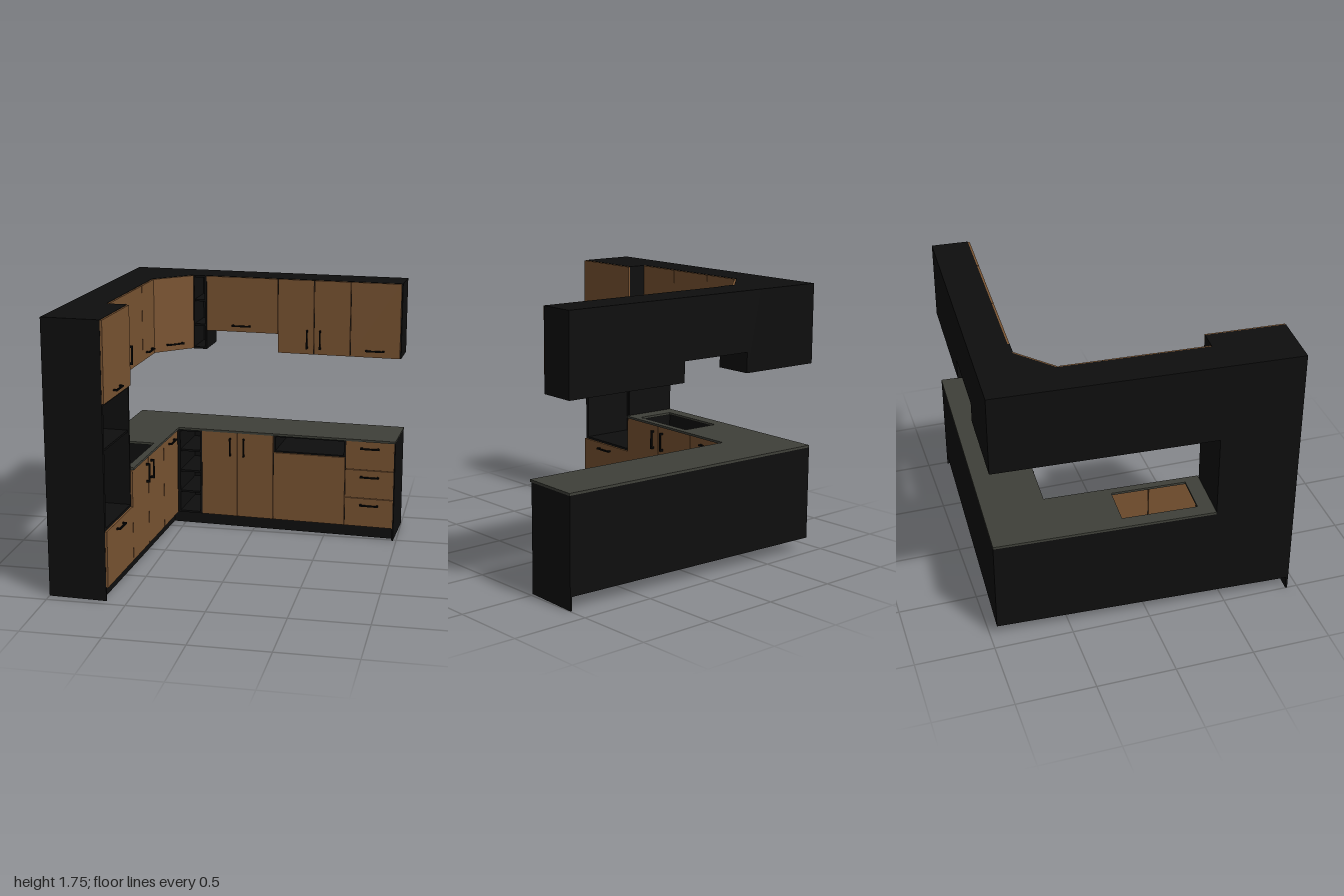
import * as THREE from 'three';

const mat = (name, color) => Object.assign(new THREE.MeshStandardMaterial({ color }), { name });

export function createModel() {
  const black = mat('black carcass', 0x0e0e0e);
  const wood = mat('brown wood', 0x7a5432);
  const stone = mat('grey worktop', 0x3f4039);
  const metal = mat('black handle', 0x040404);

  const root = new THREE.Group();
  root.name = 'cornerKitchen';
  // Inner frame: origin at the back corner, one run along x, the other along z
  const kitchen = new THREE.Group();
  kitchen.name = 'kitchen';
  kitchen.position.set(-0.905, 0, -0.96);
  kitchen.rotation.y = -0.05;
  root.add(kitchen);

  const T = 0.013;            // board thickness
  const BASE = 0.085, BASE_TOP = 0.69, WALL = 1.24, TOP = 1.75;
  const DEEP = 0.37, SHALLOW = 0.237;

  // Box given by its span along the run (a), height (y) and depth (d)
  function box(run, name, a0, a1, y0, y1, d0, d1, material, parent = kitchen) {
    const [w, d] = run === 'back' ? [a1 - a0, d1 - d0] : [d1 - d0, a1 - a0];
    const mesh = new THREE.Mesh(new THREE.BoxGeometry(w, y1 - y0, d), material);
    const a = (a0 + a1) / 2, dd = (d0 + d1) / 2;
    mesh.position.set(run === 'back' ? a : dd, (y0 + y1) / 2, run === 'back' ? dd : a);
    mesh.name = name;
    parent.add(mesh);
    return mesh;
  }

  // Bar handle on two posts
  function handle(run, a, y, d, upright, parent = kitchen) {
    const g = new THREE.Group();
    g.name = 'handle';
    const h = 0.064, t = 0.005;
    const part = (s0, s1, t0, d0, d1) => upright
      ? box(run, 'handlePart', a - t0, a + t0, y + s0, y + s1, d0, d1, metal, g)
      : box(run, 'handlePart', a + s0, a + s1, y - t0, y + t0, d0, d1, metal, g);
    part(-h, h, t, d + 0.016, d + 0.026);
    part(-h, -h + 0.014, t, d, d + 0.02);
    part(h - 0.014, h, t, d, d + 0.02);
    parent.add(g);
  }

  // Door or drawer front with a narrow gap around it
  function front(run, name, a0, a1, y0, y1, d, grip) {
    const e = 0.002;
    box(run, name, a0 + e, a1 - e, y0 + e, y1 - e, d, d + T, wood);
    if (grip) handle(run, grip[0], grip[1], d + T, grip[2] === 'upright');
  }

  // Cabinet open at the front, with shelves and an optional top
  function openCabinet(run, name, a0, a1, y0, y1, depth, shelves = [], lid = true) {
    const g = new THREE.Group();
    g.name = name;
    box(run, 'backPanel', a0, a1, y0, y1, 0, T, black, g);
    box(run, 'sidePanel', a0, a0 + T, y0, y1, T, depth, black, g);
    box(run, 'sidePanel', a1 - T, a1, y0, y1, T, depth, black, g);
    box(run, 'floorPanel', a0 + T, a1 - T, y0, y0 + T, T, depth, black, g);
    if (lid) box(run, 'lidPanel', a0 + T, a1 - T, y1 - T, y1, T, depth, black, g);
    for (const y of shelves) box(run, 'shelf', a0 + T, a1 - T, y, y + T, T, depth - 0.01, black, g);
    kitchen.add(g);
  }

  // Flat outline in plan, hung down from the given top height
  function slab(name, points, top, height, material, hole) {
    const shape = new THREE.Shape(points.map(p => new THREE.Vector2(...p)));
    if (hole) shape.holes.push(new THREE.Path(hole.map(p => new THREE.Vector2(...p))));
    const geo = new THREE.ExtrudeGeometry(shape, { depth: height, bevelEnabled: false });
    geo.rotateX(Math.PI / 2);
    const mesh = new THREE.Mesh(geo, material);
    mesh.position.y = top;
    mesh.name = name;
    kitchen.add(mesh);
  }

  // Worktop with sink cutout
  slab('worktop', [[0, 0], [1.907, 0], [1.907, 0.393], [0.393, 0.393], [0.393, 1.39], [0, 1.39]],
    0.705, 0.015, stone, [[0.085, 0.814], [0.345, 0.814], [0.345, 1.294], [0.085, 1.294]]);

  // Plinths and floor-standing end panels
  box('back', 'plinth', 0.34, 1.89, 0, BASE, 0.327, 0.34, black);
  box('side', 'plinth', 0.327, 1.884, 0, BASE, 0.327, 0.34, black);
  box('back', 'endPanel', 1.892, 1.905, 0, BASE_TOP, 0, 0.38, black);
  box('side', 'tallEndPanel', 1.884, 1.897, 0, TOP, 0, DEEP, black);

  // Base cabinets, back run
  box('back', 'cornerBase', 0, 0.385, BASE, BASE_TOP, 0, DEEP, black);
  openCabinet('back', 'openBaseShelves', 0.385, 0.555, BASE, BASE_TOP, 0.38, [0.23, 0.38, 0.53]);
  box('back', 'doubleBase', 0.555, 1.063, BASE, BASE_TOP, 0, DEEP, black);
  front('back', 'baseDoor', 0.555, 0.809, BASE, BASE_TOP, DEEP, [0.76, 0.588, 'upright']);
  front('back', 'baseDoor', 0.809, 1.063, BASE, BASE_TOP, DEEP, [0.856, 0.588, 'upright']);
  box('back', 'applianceBase', 1.063, 1.565, BASE, 0.565, 0, DEEP, black);
  openCabinet('back', 'applianceRecess', 1.063, 1.565, 0.565, BASE_TOP, DEEP);
  front('back', 'applianceDoor', 1.063, 1.565, BASE, 0.57, DEEP);
  box('back', 'drawerBase', 1.565, 1.892, BASE, BASE_TOP, 0, DEEP, black);
  [[BASE, 0.288], [0.288, 0.489], [0.489, BASE_TOP]].forEach(([y0, y1]) =>
    front('back', 'drawerFront', 1.565, 1.9, y0, y1, DEEP, [1.735, y1 - 0.047, 'flat']));

  // Base cabinets, side run
  box('side', 'blindBase', 0.37, 0.722, BASE, BASE_TOP, 0, DEEP, black);
  front('side', 'baseDoor', 0.39, 0.722, BASE, BASE_TOP, DEEP, [0.55, 0.645, 'flat']);
  openCabinet('side', 'sinkBase', 0.722, 1.39, BASE, BASE_TOP, DEEP, [], false);
  front('side', 'baseDoor', 0.722, 1.062, BASE, BASE_TOP, DEEP, [1.012, 0.588, 'upright']);
  front('side', 'baseDoor', 1.062, 1.396, BASE, BASE_TOP, DEEP, [1.107, 0.588, 'upright']);

  // Tall cabinet with appliance niche
  box('side', 'tallBase', 1.39, 1.884, BASE, 0.45, 0, DEEP, black);
  openCabinet('side', 'tallNiche', 1.39, 1.884, 0.45, WALL, DEEP, [0.94]);
  box('side', 'tallTop', 1.39, 1.884, WALL, TOP, 0, DEEP, black);
  front('side', 'tallDrawer', 1.396, 1.897, BASE, 0.45, DEEP, [1.658, 0.408, 'flat']);
  front('side', 'tallDoor', 1.39, 1.897, WALL, TOP, DEEP, [1.658, 1.288, 'flat']);

  // Wall cabinets, back run
  openCabinet('back', 'openWallShelves', 0.458, 0.558, WALL, TOP, 0.25, [1.4, 1.57]);
  box('back', 'hoodCabinet', 0.558, 1.059, 1.37, TOP, 0, SHALLOW, black);
  front('back', 'hoodDoor', 0.558, 1.059, 1.37, TOP, SHALLOW, [0.805, 1.415, 'flat']);
  box('back', 'wallCabinet', 1.059, 1.905, WALL, TOP, 0, SHALLOW, black);
  front('back', 'wallDoor', 1.059, 1.31, WALL, TOP, SHALLOW, [1.265, 1.345, 'upright']);
  front('back', 'wallDoor', 1.31, 1.56, WALL, TOP, SHALLOW, [1.355, 1.345, 'upright']);
  front('back', 'wallDoor', 1.56, 1.9, WALL, TOP, SHALLOW, [1.73, 1.288, 'flat']);

  // Wall cabinets, side run
  box('side', 'wallCabinet', 0.46, 1.39, WALL, TOP, 0, SHALLOW, black);
  front('side', 'wallDoor', 0.47, 0.729, WALL, TOP, SHALLOW, [0.6, 1.288, 'flat']);
  front('side', 'wallDoor', 0.729, 1.064, WALL, TOP, SHALLOW, [1.02, 1.345, 'upright']);
  front('side', 'wallDoor', 1.064, 1.39, WALL, TOP, SHALLOW, [1.108, 1.345, 'upright']);

  // Corner wall cabinet with slanted door
  slab('cornerWallCabinet', [[0, 0], [0.46, 0], [0.46, 0.237], [0.237, 0.46], [0, 0.46]],
    TOP, TOP - WALL, black);
  const slant = new THREE.Group();
  slant.name = 'cornerDoor';
  slant.position.set(0.3485, 0, 0.3485);
  slant.rotation.y = Math.PI / 4;
  box('back', 'cornerDoorPanel', -0.155, 0.155, WALL + 0.002, TOP - 0.002, 0, T, wood, slant);
  handle('back', 0, 1.288, T, false, slant);
  kitchen.add(slant);

  return root;
}
